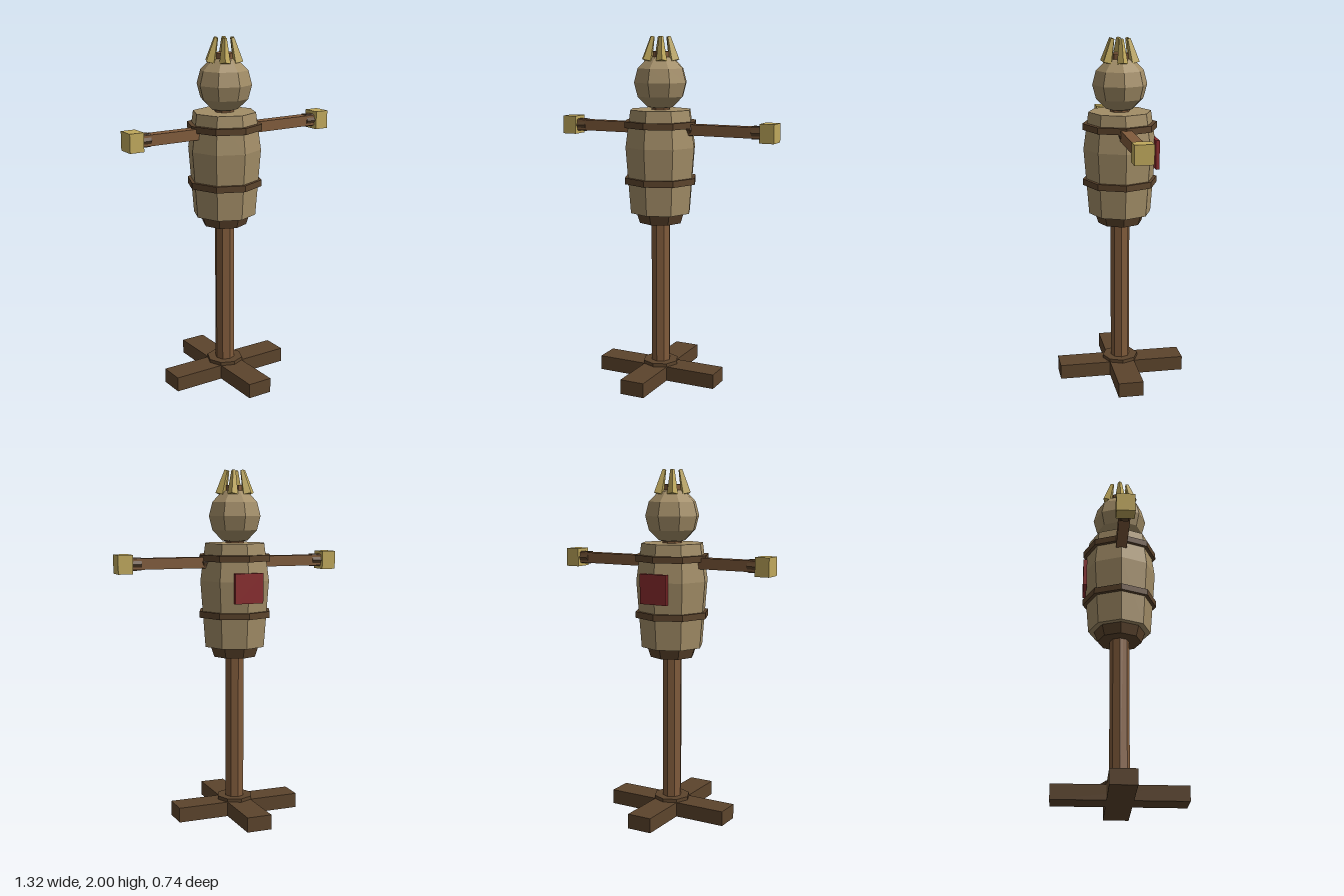
import * as THREE from 'three';

const material = (name, color) => {
  const m = new THREE.MeshStandardMaterial({ color });
  m.name = name;
  return m;
};

export function createModel() {
  const wood = material('wood', 0x805b3b);
  const darkWood = material('darkWood', 0x5c442c);
  const burlap = material('burlap', 0xa28d67);
  const straw = material('straw', 0xbfa85c);
  const red = material('redCloth', 0x8a2c2e);

  const model = new THREE.Group();
  model.name = 'trainingDummy';
  const post = new THREE.Group(); // everything centred on the pole
  post.name = 'post';
  post.position.x = -0.04;
  model.add(post);

  const add = (parent, name, geometry, mat, x = 0, y = 0, z = 0) => {
    // split vertices so every facet gets its own flat normal
    const g = geometry.index ? geometry.toNonIndexed() : geometry;
    g.computeVertexNormals();
    const mesh = new THREE.Mesh(g, mat);
    mesh.name = name;
    mesh.position.set(x, y, z);
    parent.add(mesh);
    return mesh;
  };
  const box = (parent, name, mat, w, h, d, x, y, z) =>
    add(parent, name, new THREE.BoxGeometry(w, h, d), mat, x, y, z);
  // octagonal prism between two heights
  const drum = (name, mat, rBottom, rTop, y0, y1) =>
    add(post, name, new THREE.CylinderGeometry(rTop, rBottom, y1 - y0, 8), mat, 0, (y0 + y1) / 2, 0);

  // crossed feet, collar and pole
  box(post, 'footBeamAcross', darkWood, 0.74, 0.085, 0.145, 0, 0.0425, 0);
  box(post, 'footBeamAlong', darkWood, 0.145, 0.085, 0.74, 0, 0.0425, 0);
  drum('poleCollar', darkWood, 0.105, 0.105, 0.08, 0.105);
  drum('pole', wood, 0.056, 0.056, 0.08, 1.915);

  // stuffed sack body with tied bottom and straps
  const profile = [[0, 1], [0.18, 1], [0.21, 1.38], [0.18, 1.59], [0, 1.59]]
    .map(([r, y]) => new THREE.Vector2(r, y));
  add(post, 'body', new THREE.LatheGeometry(profile, 8), burlap);
  drum('bottomTie', darkWood, 0.127, 0.147, 0.94, 1.002);
  for (const y of [1.188, 1.508]) drum('strap', darkWood, 0.215, 0.215, y - 0.018, y + 0.018);
  box(post, 'backPatch', red, 0.168, 0.168, 0.022, 0, 1.345, -0.204);

  // head
  add(post, 'head', new THREE.SphereGeometry(0.157, 8, 6), burlap, 0, 1.742, 0);

  // ring of straw tufts leaning inward
  for (let i = 0; i < 6; i++) {
    const holder = new THREE.Group();
    holder.name = 'strawTuft';
    holder.rotation.y = (i * Math.PI) / 3;
    const tuft = add(holder, 'tuft', new THREE.CylinderGeometry(0.012, 0.031, 0.138, 4), straw, 0.069, 1.93, 0);
    tuft.rotation.z = 0.265;
    post.add(holder);
  }

  // crossbar arms with cuffs and straw hands
  const armY = 1.483;
  box(model, 'crossbar', wood, 1.18, 0.061, 0.062, 0, armY, 0);
  for (const side of [-1, 1]) {
    const cuff = add(model, 'cuff', new THREE.CylinderGeometry(0.041, 0.041, 0.06, 6), darkWood, side * 0.552, armY, 0);
    cuff.rotation.z = Math.PI / 2;
    box(model, 'hand', straw, 0.083, 0.105, 0.103, side * 0.6185, armY, 0);
  }
  // knot where the left arm leaves the sack
  add(model, 'shoulderKnot', new THREE.SphereGeometry(0.046, 6, 4), darkWood, 0.14, armY + 0.002, 0);

  return model;
}
